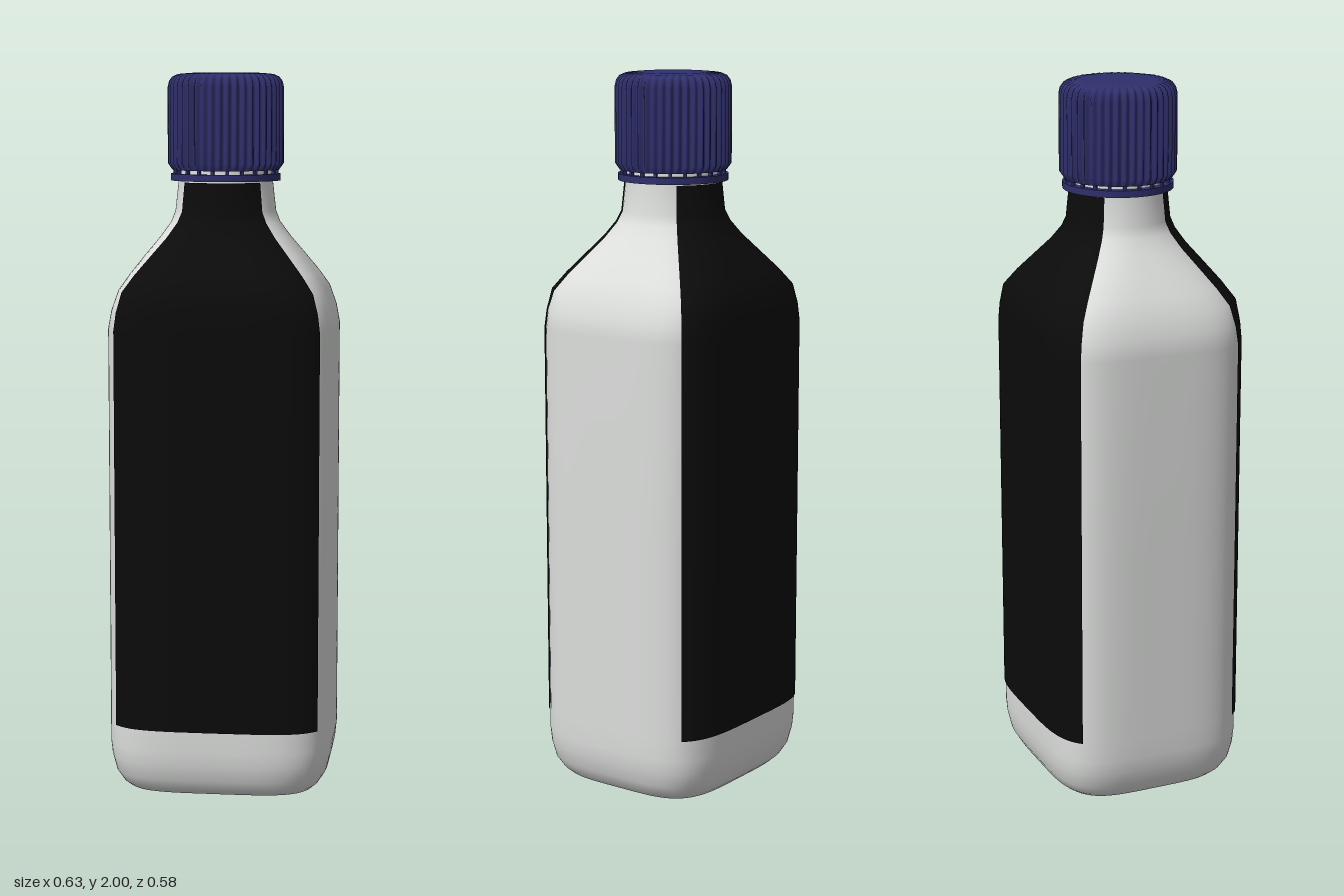
import * as THREE from 'three';

const TAU = Math.PI * 2;
const EDGE = 0.689; // angle of the label's side edges around the bottle

// Lofts rows of { y, r(angle) } over an angle range; repeat a row for a hard edge.
function loft(rows, segments, start = 0, end = TAU) {
  const closed = end - start > TAU - 1e-6;
  const n = closed ? segments : segments + 1;
  const positions = [];
  const index = [];
  for (const row of rows) {
    for (let j = 0; j < n; j++) {
      const t = start + (end - start) * j / segments;
      const r = row.r(t);
      positions.push(r * Math.cos(t), row.y, r * Math.sin(t));
    }
  }
  for (let i = 0; i < rows.length - 1; i++) {
    for (let j = 0; j < segments; j++) {
      const k = (j + 1) % n;
      const a = i * n + j, b = i * n + k;
      index.push(a, a + n, b, b, a + n, b + n);
    }
  }
  const geometry = new THREE.BufferGeometry();
  geometry.setAttribute('position', new THREE.Float32BufferAttribute(positions, 3));
  geometry.setIndex(index);
  geometry.computeVertexNormals();
  return geometry;
}

// Superellipse row: half width, half depth, squareness.
const section = ([y, a, b, p], grow = 0) => ({
  y,
  r: t => grow + Math.pow(
    Math.pow(Math.abs(Math.cos(t)) / a, p) + Math.pow(Math.abs(Math.sin(t)) / b, p), -1 / p),
});

// y, half width, half depth, squareness
const PROFILE = [
  [0.015, 0.002, 0.002, 3],
  [0.012, 0.18, 0.15, 3.6],
  [0.0, 0.24, 0.21, 4],
  [0.0, 0.268, 0.237, 4.2],
  [0.015, 0.283, 0.254, 4.3],
  [0.045, 0.301, 0.272, 4.3],
  [0.09, 0.312, 0.282, 4.3],
  [0.13, 0.316, 0.285, 4.3],
  [0.19, 0.316, 0.285, 4.3],
  [0.75, 0.316, 0.285, 4.3],
  [1.3, 0.316, 0.285, 4.3],
  [1.35, 0.307, 0.284, 4.2],
  [1.405, 0.288, 0.28, 4.0],
  [1.45, 0.258, 0.251, 3.6],
  [1.5, 0.22, 0.214, 3.0],
  [1.55, 0.18, 0.175, 2.5],
  [1.59, 0.152, 0.15, 2.2],
  [1.62, 0.141, 0.14, 2],
  [1.7, 0.132, 0.132, 2],
  [1.76, 0.13, 0.13, 2],
];

// Ridged cap row: radius and ridge height
const ridged = ([y, radius, ridge]) => ({ y, r: t => radius + ridge * Math.cos(44 * t) });

const CAP = [
  [1.733, 0.125, 0],
  [1.733, 0.148, 0.001],
  [1.733, 0.148, 0.001],
  [1.752, 0.157, 0.005],
  [1.85, 0.157, 0.005],
  [1.96, 0.157, 0.005],
  [1.978, 0.153, 0.005],
  [1.99, 0.145, 0.004],
  [1.997, 0.13, 0.003],
  [2.0, 0.1, 0.001],
  [2.0, 0.001, 0],
];

export function createModel() {
  const plastic = new THREE.MeshStandardMaterial({ color: 0xdcdedc });
  plastic.name = 'white plastic';
  const black = new THREE.MeshStandardMaterial({ color: 0x0b0b0b, side: THREE.DoubleSide });
  black.name = 'black label';
  const blue = new THREE.MeshStandardMaterial({ color: 0x2f2f6c });
  blue.name = 'blue cap';

  const model = new THREE.Group();
  model.name = 'bottle';
  const add = (name, geometry, material, parent = model) => {
    const mesh = new THREE.Mesh(geometry, material);
    mesh.name = name;
    parent.add(mesh);
    return mesh;
  };

  // Bottle: rounded square below, round at the neck
  add('body', loft(PROFILE.map(p => section(p)), 128), plastic);

  // Front and back labels, just proud of the body
  const labelRows = PROFILE.filter(p => p[0] >= 0.19 && p[0] <= 1.7).map(p => section(p, 0.004));
  add('frontLabel', loft(labelRows, 64, EDGE, Math.PI - EDGE), black);
  add('backLabel', loft(labelRows, 64, Math.PI + EDGE, TAU - EDGE), black);

  // Screw cap with ridges that fade out over the top
  const closure = new THREE.Group();
  closure.name = 'closure';
  model.add(closure);
  add('cap', loft(CAP.map(ridged), 44 * 8), blue, closure);

  // Tamper ring and the small bridges that hold it to the cap
  const ring = new THREE.LatheGeometry([
    [0.125, 1.704], [0.153, 1.704], [0.153, 1.704], [0.153, 1.723],
    [0.153, 1.723], [0.125, 1.723],
  ].map(([x, y]) => new THREE.Vector2(x, y)), 64);
  add('tamperRing', ring, blue, closure);
  const bridge = new THREE.BoxGeometry(0.008, 0.016, 0.009);
  for (let i = 0; i < 22; i++) {
    const t = i * TAU / 22;
    const mesh = add('ringBridge', bridge, blue, closure);
    mesh.position.set(0.143 * Math.cos(t), 1.728, 0.143 * Math.sin(t));
    mesh.rotation.y = -t;
  }

  return model;
}
